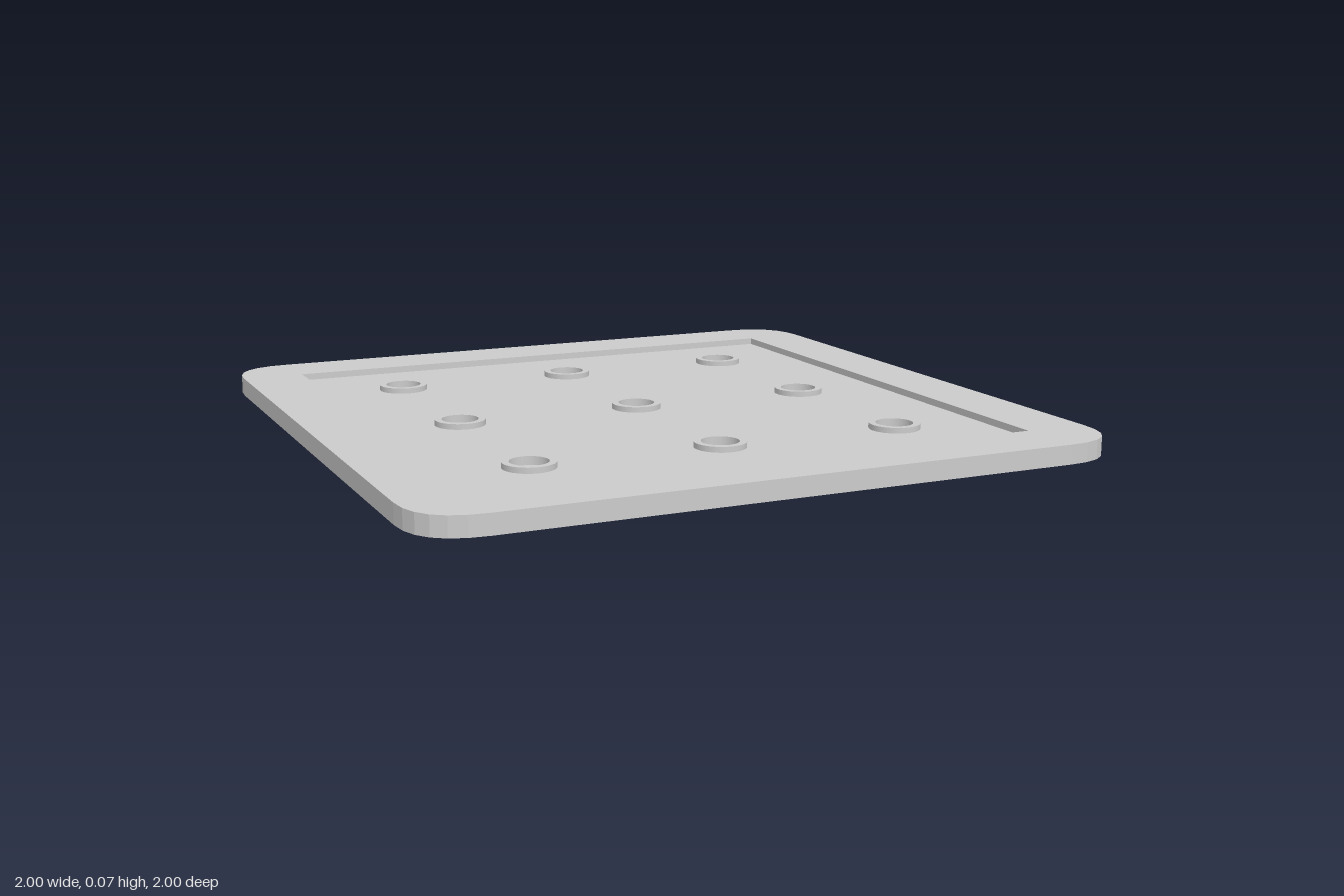
import * as THREE from 'three';

const BOTTOM = 0.015, FLOOR = 0.05, TOP = 0.07;
const HALF = 1, CORNER = 0.18, RECESS = 0.815;
const PITCH = 0.552, CENTER_X = -0.007, CENTER_Z = 0.005;
const CUP_R = 0.073, BORE_R = 0.053;

// Square outline with softly curved corners
function plateOutline() {
  const h = HALF, i = HALF - CORNER, s = new THREE.Shape();
  s.moveTo(-i, -h);
  s.lineTo(i, -h).quadraticCurveTo(h, -h, h, -i);
  s.lineTo(h, i).quadraticCurveTo(h, h, i, h);
  s.lineTo(-i, h).quadraticCurveTo(-h, h, -h, i);
  s.lineTo(-h, -i).quadraticCurveTo(-h, -h, -i, -h);
  return s;
}

// Extrude a plan shape (x, -z) upward between two heights
function slab(shape, y0, y1, material, name) {
  const geo = new THREE.ExtrudeGeometry(shape, { depth: y1 - y0, bevelEnabled: false, curveSegments: 6 });
  geo.rotateX(-Math.PI / 2).translate(0, y0, 0);
  const mesh = new THREE.Mesh(geo, material);
  mesh.name = name;
  return mesh;
}

export function createModel() {
  const model = new THREE.Group();
  model.name = 'studdedTray';
  const material = new THREE.MeshStandardMaterial({ color: 0xcccccc });

  const centers = [];
  for (const i of [-1, 0, 1])
    for (const j of [-1, 0, 1]) centers.push([CENTER_X + i * PITCH, CENTER_Z + j * PITCH]);

  // Base slab, bored where the cups pass through
  const base = plateOutline();
  for (const [x, z] of centers)
    base.holes.push(new THREE.Path().absarc(x, -z, BORE_R + 0.01, 0, Math.PI * 2, true));
  model.add(slab(base, BOTTOM, FLOOR, material, 'base'));

  // Raised border around the square recess
  const border = plateOutline(), r = RECESS;
  border.holes.push(new THREE.Path([[-r, -r], [-r, r], [r, r], [r, -r]].map(([x, y]) => new THREE.Vector2(x, y))));
  model.add(slab(border, FLOOR, TOP, material, 'border'));

  // Shallow cups: foot below, ring rim above; each straight run is its own
  // lathe segment (points doubled) so the rims stay sharp
  const profile = [[0, 0], [CUP_R, 0], [CUP_R, 0.066], [BORE_R, 0.066], [BORE_R, 0.042], [0, 0.042]]
    .map(([x, y]) => new THREE.Vector2(x, y));
  const cups = new THREE.Group();
  cups.name = 'cups';
  const runs = profile.slice(1).map((p, k) => new THREE.LatheGeometry([profile[k], p], 32));
  for (const [x, z] of centers) {
    const cup = new THREE.Group();
    cup.name = 'cup';
    cup.position.set(x, 0, z);
    runs.forEach((geo, k) => {
      const part = new THREE.Mesh(geo, material);
      part.name = ['foot', 'outerWall', 'rim', 'boreWall', 'boreFloor'][k];
      cup.add(part);
    });
    cups.add(cup);
  }
  model.add(cups);
  return model;
}
